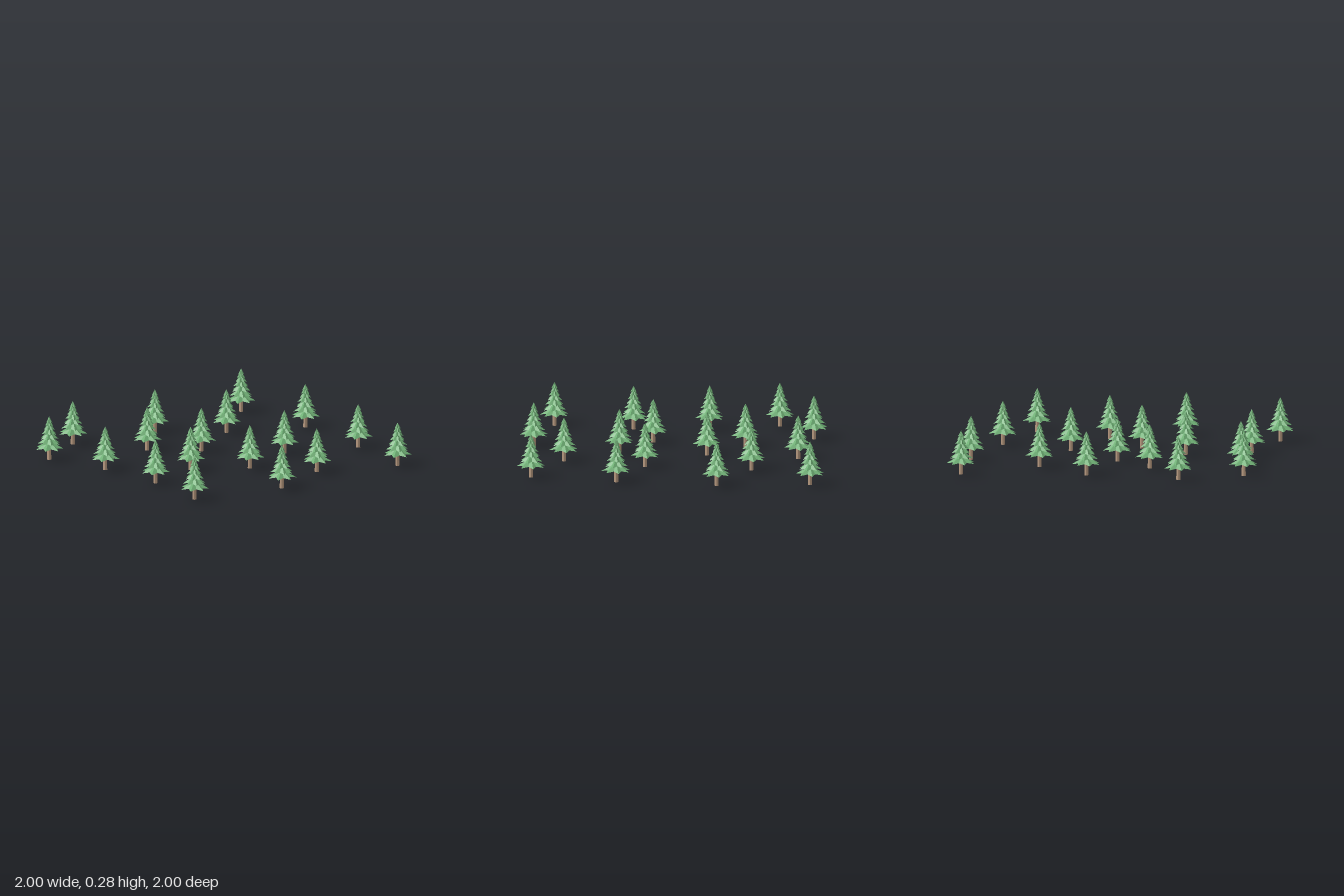
import * as THREE from 'three';

const POINTS = 7;

// x, z of every tree in the grove
const SPOTS = [
  [-0.914, -0.847], [-0.327, -0.91], [0.312, -0.843], [0.858, -0.74],
  [-0.514, -0.427], [0.162, -0.372], [0.684, -0.233], [-0.785, -0.066],
  [-0.203, 0.008], [0.353, 0.046], [0.906, 0.213], [-0.429, 0.266],
  [0.162, 0.37], [-0.843, 0.54], [-0.166, 0.798], [0.313, 0.763],
  [0.818, 0.838], [-0.602, 0.91],
];

// tip radius, tip height, apex height of each tier, bottom to top
const TIERS = [
  [0.0925, 0.07, 0.125],
  [0.074, 0.102, 0.158],
  [0.06, 0.134, 0.19],
  [0.048, 0.164, 0.218],
  [0.037, 0.192, 0.244],
  [0.027, 0.218, 0.264],
  [0.02, 0.24, 0.28],
];

// A cone whose rim is pulled into a star, with the notches raised above the drooping tips
function starCone(radius, yTip, yApex) {
  const h = yApex - yTip;
  const geo = new THREE.ConeGeometry(radius, h, POINTS * 2, 1, false, Math.PI / 2);
  geo.translate(0, yTip + h / 2, 0);
  const pos = geo.attributes.position;
  for (let i = 0; i < pos.count; i++) {
    const x = pos.getX(i), z = pos.getZ(i);
    if (pos.getY(i) > yTip + h / 2) continue;
    if (Math.hypot(x, z) < radius * 0.5) {
      pos.setY(i, yTip + h * 0.15); // hollow underside
      continue;
    }
    const step = Math.round((Math.atan2(z, x) / Math.PI) * POINTS);
    if (step % 2 !== 0) pos.setXYZ(i, x * 0.62, yTip + h * 0.14, z * 0.62);
  }
  const flat = geo.toNonIndexed();
  flat.computeVertexNormals();
  return flat;
}

export function createModel() {
  const needles = new THREE.MeshStandardMaterial({ color: 0x6fb075, flatShading: true });
  const bark = new THREE.MeshStandardMaterial({ color: 0xb89a80, flatShading: true });

  const trunkGeo = new THREE.CylinderGeometry(0.012, 0.0135, 0.1, 8).translate(0, 0.05, 0);
  // every other tier is turned half a point so its tips cover the notches below
  const tierGeos = TIERS.map((t, i) => starCone(...t).rotateY((i % 2) * Math.PI / POINTS));

  const grove = new THREE.Group();
  grove.name = 'pineGrove';
  SPOTS.forEach(([x, z]) => {
    const tree = new THREE.Group();
    tree.name = 'pineTree';
    const trunk = new THREE.Mesh(trunkGeo, bark);
    trunk.name = 'trunk';
    tree.add(trunk);
    tierGeos.forEach((geo) => {
      const tier = new THREE.Mesh(geo, needles);
      tier.name = 'branchTier';
      tree.add(tier);
    });
    tree.position.set(x, 0, z);
    grove.add(tree);
  });
  return grove;
}
